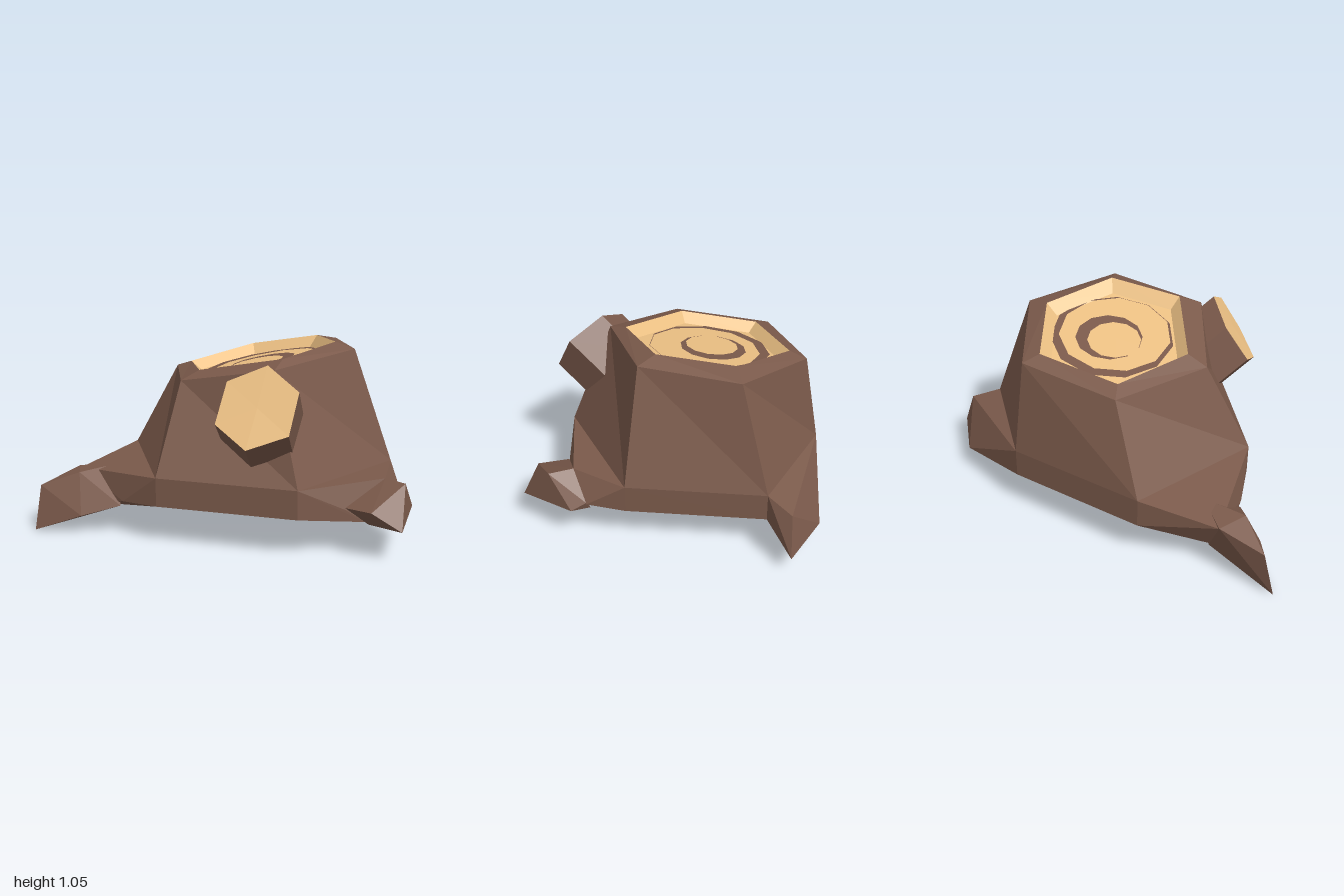
import * as THREE from 'three';
import { ConvexGeometry } from 'three/addons/geometries/ConvexGeometry.js';

const bark = new THREE.MeshStandardMaterial({ color: 0x7b5a4b, flatShading: true });
const wood = new THREE.MeshStandardMaterial({ color: 0xedc184, flatShading: true });

// Sloping plane of the sawn top
const cutY = (x, z) => 0.985 + 0.07 * x + 0.18 * z;

// Skin a stack of closed rings (clockwise from above, listed bottom to top)
function loft(rings) {
  const pos = [];
  for (let r = 0; r < rings.length - 1; r++) {
    const lo = rings[r], up = rings[r + 1], n = lo.length;
    for (let i = 0; i < n; i++) {
      const j = (i + 1) % n;
      pos.push(...lo[i], ...up[i], ...up[j], ...lo[i], ...up[j], ...lo[j]);
    }
  }
  const g = new THREE.BufferGeometry();
  g.setAttribute('position', new THREE.Float32BufferAttribute(pos, 3));
  g.computeVertexNormals();
  return g;
}

function hull(points) {
  return new ConvexGeometry(points.map(p => new THREE.Vector3(...p)));
}

export function createModel() {
  const group = new THREE.Group();
  const add = (name, geometry, material = bark) => {
    const mesh = new THREE.Mesh(geometry, material);
    mesh.name = name;
    group.add(mesh);
  };
  const flat = (ring, y) => ring.map(([x, z]) => [x, y, z]);
  const onCut = (ring, drop = 0) => ring.map(([x, z]) => [x, cutY(x, z) - drop, z]);
  const point = (p) => Array(6).fill(p);

  // Trunk: six-sided, tapering to a bevelled rim
  const base = [[-0.27, -0.85], [0.47, -0.57], [0.76, 0.02], [0.26, 0.61], [-0.5, 0.49], [-0.77, -0.25]];
  const shoulder = [
    [-0.11, 0.845, -0.65], [0.43, 0.9, -0.49], [0.55, 0.985, 0.05],
    [0.14, 1.02, 0.43], [-0.4, 0.97, 0.27], [-0.52, 0.87, -0.27],
  ];
  const rim = [[-0.1, -0.55], [0.35, -0.43], [0.43, -0.01], [0.13, 0.31], [-0.28, 0.24], [-0.41, -0.23]];
  add('trunk', loft([point([0, 0.22, 0]), flat(base, 0.22), flat(base, 0.38), shoulder, onCut(rim)]));

  // Sunken cut face
  const depth = 0.06;
  const floor = rim.map(([x, z]) => [0.01 + (x - 0.01) * 0.86, -0.1 + (z + 0.1) * 0.86]);
  const centre = [0.01, cutY(0.01, -0.12) - depth, -0.12];
  add('cutFace', loft([onCut(rim), onCut(floor, depth), point(centre)]), wood);

  // Growth rings of uneven width
  const circle = (cx, cz, r, n) => Array.from({ length: n }, (_, i) => {
    const t = (i + 0.5) / n * Math.PI * 2;
    return [cx + r * Math.cos(t), cz + r * Math.sin(t)];
  });
  const growthRing = (name, outer, inner, n) => add(name, loft([
    onCut(circle(...outer, n), depth - 0.004), onCut(circle(...inner, n), depth - 0.004),
  ]));
  growthRing('outerGrowthRing', [0.03, -0.115, 0.34], [0.02, -0.09, 0.31], 11);
  growthRing('innerGrowthRing', [0.045, -0.13, 0.185], [0.012, -0.145, 0.148], 12);

  // Roots: each spreads from one side of the trunk base
  const side = (i) => [i, (i + 1) % 6].flatMap(k => [0.22, 0.38].map(y => [base[k][0], y, base[k][1]]));
  add('leftRoot', hull([...side(1), [1, 0.12, 0.04], [0.87, 0.13, -0.27], [0.92, 0.33, -0.02]]));

  add('frontRootBase', hull([...side(3), [-0.05, 0.38, 0.75], [-0.29, 0.25, 0.65],
    [0.11, 0.24, 0.77], [-0.2, 0.17, 0.72]]));
  add('frontRootTip', hull([[-0.05, 0.38, 0.75], [-0.29, 0.26, 0.65], [0.11, 0.25, 0.77],
    [0.1, 0.2, 0.74], [-0.2, 0.16, 0.74], [-0.25, 0.18, 0.97], [-0.33, 0.28, 0.83],
    [0.08, 0.21, 0.85], [-0.08, 0.385, 0.89]]));

  add('backRootBase', hull([...side(5), [-0.77, 0.2, -0.5], [-0.59, 0.345, -0.7],
    [-0.7, 0.31, -0.89], [-0.72, 0.12, -0.8]]));
  add('backRootTip', hull([[-0.59, 0.34, -0.7], [-0.7, 0.32, -0.9], [-0.77, 0.17, -0.52],
    [-0.82, 0.33, -0.78], [-0.9, 0.11, -0.7], [-1, 0, -0.97], [-0.94, 0.25, -0.97],
    [-0.64, 0.12, -0.8]]));

  // Sawn branch stub on the right
  const cap = [[-0.57, 0.92, 0.09], [-0.47, 1.01, 0.28], [-0.49, 0.9, 0.49],
    [-0.61, 0.7, 0.51], [-0.72, 0.62, 0.32], [-0.7, 0.72, 0.11]];
  const shift = (ring, s) => ring.map(([x, y, z]) => [x + 0.2 * s, y - 0.17 * s, z - 0.11 * s]);
  const capCentre = [-0.593, 0.812, 0.302];
  add('branch', loft([point(shift([capCentre], 1)[0]), shift(cap, 1), cap]));
  add('branchCut', loft([cap, point(capCentre)]), wood);

  return group;
}
